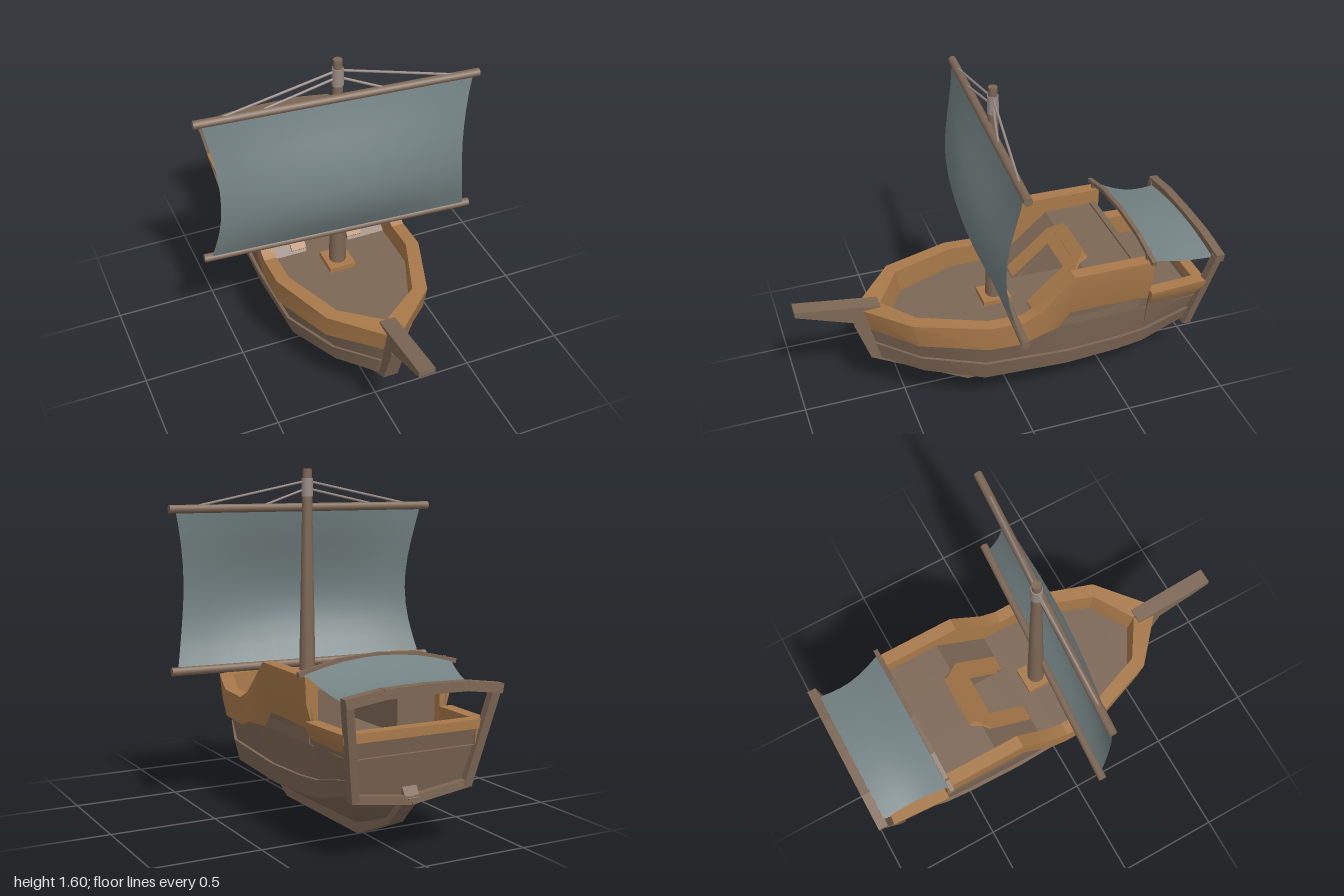
import * as THREE from 'three';
import { toCreasedNormals } from 'three/addons/utils/BufferGeometryUtils.js';

const mat = (name, color) => new THREE.MeshStandardMaterial({ name, color, side: THREE.DoubleSide });
const wood = mat('dark wood', 0x7d6755);
const trim = mat('trim wood', 0xa8794a);
const cloth = mat('grey cloth', 0x748284);
const rope = mat('rope', 0x9a8c86);

// Linear lookup in a list of [z, value] pairs with falling z
function at(line, z) {
  if (z >= line[0][0]) return line[0][1];
  for (let i = 1; i < line.length; i++) {
    const [z0, a] = line[i - 1], [z1, b] = line[i];
    if (z >= z1) return a + (b - a) * (z0 - z) / (z0 - z1);
  }
  return line[line.length - 1][1];
}

// Skin a row of cross-sections; closed sections also get end caps
function loft(rings, closed = false, crease = 0.5) {
  const n = rings[0].length, pos = rings.flat(2), idx = [];
  for (let i = 0; i < rings.length - 1; i++)
    for (let j = 0; j < (closed ? n : n - 1); j++) {
      const a = i * n + j, b = i * n + (j + 1) % n;
      idx.push(a, a + n, b, b, a + n, b + n);
    }
  if (closed) for (let j = 1; j < n - 1; j++) {
    const e = (rings.length - 1) * n;
    idx.push(0, j, j + 1, e, e + j + 1, e + j);
  }
  const g = new THREE.BufferGeometry();
  g.setAttribute('position', new THREE.Float32BufferAttribute(pos, 3));
  g.setIndex(idx);
  return toCreasedNormals(g, crease);
}

// Side profile of [z, y] points made solid between two x positions
function sideProfile(pts, x0, x1) {
  const s = new THREE.Shape(pts.map(([z, y]) => new THREE.Vector2(-z, y)));
  const g = new THREE.ExtrudeGeometry(s, { depth: x1 - x0, bevelEnabled: false });
  return g.rotateY(Math.PI / 2).translate(x0, 0, 0);
}

// Hull lines
const stations = [0.62, 0.45, 0.17, 0, -0.08, -0.24, -0.5, -0.64, -0.641, -0.77, -0.87];
const keelY = [[0.62, 0.27], [0.17, 0.05], [-0.5, 0.05], [-0.77, 0.14], [-0.87, 0.25]];
const lowX = [[0.62, 0.03], [0.45, 0.165], [0.17, 0.275], [-0.27, 0.29], [-0.61, 0.285], [-0.87, 0.25]];
const lowY = [[0.62, 0.27], [0.17, 0.22], [-0.27, 0.21], [-0.61, 0.23], [-0.87, 0.3]];
const highX = [[0.62, 0.03], [0.45, 0.19], [0.17, 0.305], [-0.27, 0.31], [-0.61, 0.305], [-0.87, 0.275]];
const highY = [[0.62, 0.36], [0.17, 0.32], [-0.27, 0.295], [-0.61, 0.31], [-0.87, 0.37]];
const sheerX = [[0.62, 0.03], [0.45, 0.22], [0.17, 0.335], [-0.64, 0.335], [-0.87, 0.32]];
const sheerY = [[0.62, 0.44], [0.45, 0.455], [0, 0.43], [-0.08, 0.46], [-0.24, 0.64], [-0.64, 0.64], [-0.641, 0.53]];
const topY = [[0.62, 0.56], [0.45, 0.58], [0, 0.56], [-0.08, 0.6], [-0.24, 0.76], [-0.64, 0.755], [-0.641, 0.57]];
const rakeK = [[0.62, 0.28], [0.17, 0], [-0.64, 0], [-0.87, -0.24]];
const inwardZ = [[0.62, -0.1], [0.45, -0.03], [0.17, -0.01], [0, 0]];
const rake = (x, y, z) => [x, y, z + at(rakeK, z) * (y - 0.3)];

function hullSide(z) {
  const ky = at(keelY, z), lx = at(lowX, z), ly = at(lowY, z);
  return [[at(sheerX, z), at(sheerY, z)], [at(highX, z), at(highY, z)], [lx, ly],
    [0.03 + (lx - 0.03) * 0.6, ky + (ly - ky) * 0.53], [0.03, ky]].map(([x, y]) => rake(x, y, z));
}
const flip = ([x, y, z]) => [-x, y, z];

function railSection(z, s) {
  const ox = at(sheerX, z) + (z > 0.6 ? 0 : 0.03), b = at(sheerY, z), t = at(topY, z);
  const ix = Math.max(0, ox - 0.062), dz = at(inwardZ, z), ib = Math.min(b, 0.45);
  const [, , zb] = rake(0, b, z), [, , zt] = rake(0, t, z);
  return [[ox - 0.006, b, zb], [ox, t, zt], [ix, t, zt + dz], [ix, ib, zb + dz]].map(([x, y, w]) => [s * x, y, w]);
}

export function createModel() {
  const ship = new THREE.Group();
  ship.name = 'sailingShip';
  const add = (name, geo, m, parent = ship) => {
    const mesh = new THREE.Mesh(geo, m);
    mesh.name = name;
    parent.add(mesh);
    return mesh;
  };
  const box = (name, m, x0, x1, y0, y1, z0, z1) => add(name,
    new THREE.BoxGeometry(x1 - x0, y1 - y0, z1 - z0).translate((x0 + x1) / 2, (y0 + y1) / 2, (z0 + z1) / 2), m);
  // Round or square bar between two points
  const bar = (name, m, a, b, r, sides = 8, parent = ship) => {
    const p = new THREE.Vector3(...a), q = new THREE.Vector3(...b), d = q.clone().sub(p);
    const g = new THREE.CylinderGeometry(r, r, d.length(), sides);
    if (sides === 4) g.rotateY(Math.PI / 4);
    const mesh = add(name, sides === 4 ? toCreasedNormals(g, 0.5) : g, m, parent);
    mesh.position.copy(p).add(q).multiplyScalar(0.5);
    mesh.quaternion.setFromUnitVectors(new THREE.Vector3(0, 1, 0), d.normalize());
  };

  // Hull skin and transom
  add('hull', loft(stations.map(z => {
    const side = hullSide(z);
    return [...side, ...side.map(flip).reverse()];
  })), wood);
  const stern = hullSide(-0.87);
  add('transom', loft([stern, stern.map(flip)]), wood);

  // Keel, stem and bowsprit
  add('keel', sideProfile([[0.7, 0.57], [0.73, 0.48], [0.66, 0.27], [0.18, 0], [-0.51, 0.005], [-0.77, 0.12], [-0.9, 0.26],
    [-0.87, 0.31], [-0.75, 0.18], [-0.5, 0.06], [0.17, 0.06], [0.6, 0.3], [0.65, 0.5], [0.64, 0.57]], -0.035, 0.035), wood);
  add('bowsprit', sideProfile([[1, 0.628], [1, 0.6], [0.73, 0.5], [0.6, 0.5], [0.6, 0.57]], -0.038, 0.038), wood);

  // Wales and gunwales, mirrored
  for (const s of [1, -1]) {
    add('wale', loft(stations.map(z => {
      const lx = at(lowX, z), ly = at(lowY, z), hx = at(highX, z), hy = at(highY, z);
      return [[lx - 0.01, ly], [lx + 0.018, ly - 0.003], [hx + 0.015, hy], [hx - 0.01, hy]]
        .map(([x, y]) => rake(s * x, y, z));
    }), true), wood);
    add('gunwale', loft(stations.slice(0, 8).map(z => railSection(z, s)), true), trim);
    add('sternGunwale', loft(stations.slice(8).map(z => railSection(z, s)), true), trim);
  }
  box('transomRail', trim, -0.33, 0.33, 0.53, 0.57, -0.935, -0.88);

  // Decks
  add('mainDeck', loft(stations.map(z => {
    const [x, , w] = railSection(z, 1)[3];
    return [[x + 0.02, 0.46, w], [-x - 0.02, 0.46, w]];
  })), wood);
  for (const s of [1, -1])
    add('quarterdeckSide', sideProfile([[-0.1, 0.46], [-0.35, 0.68], [-0.6, 0.68], [-0.6, 0.46]],
      s > 0 ? 0.11 : -0.325, s > 0 ? 0.325 : -0.11), wood);
  box('quarterdeckRoof', wood, -0.11, 0.11, 0.645, 0.68, -0.6, -0.33);
  box('quarterdeckBeam', wood, -0.325, 0.325, 0.65, 0.69, -0.62, -0.59);

  // Leaning companionway frame
  const arch = new THREE.Shape([[-0.185, 0], [-0.185, 0.28], [-0.13, 0.36], [0.13, 0.36], [0.185, 0.28], [0.185, 0],
    [0.11, 0], [0.11, 0.24], [-0.11, 0.24], [-0.11, 0]].map(p => new THREE.Vector2(...p)));
  const frame = add('companionwayFrame', new THREE.ExtrudeGeometry(arch, { depth: 0.04, bevelEnabled: false }), trim);
  frame.rotation.x = -0.85;
  frame.position.set(0, 0.45, -0.13);

  // Mast
  box('mastStep', trim, -0.065, 0.065, 0.455, 0.485, -0.04, 0.1);
  add('mast', new THREE.CylinderGeometry(0.021, 0.042, 1.14, 12).translate(0, 1.03, 0.03), wood);
  add('mastLashing', new THREE.CylinderGeometry(0.026, 0.027, 0.085, 12).translate(0, 1.515, 0.03), rope);

  // Yards, sail and lifts, turned together about the mast
  const rig = new THREE.Group();
  rig.name = 'rig';
  rig.position.z = 0.06;
  rig.rotation.y = -0.066;
  ship.add(rig);
  for (const y of [1.422, 0.685]) bar('yard', wood, [-0.66, y, 0], [0.66, y, 0], 0.02, 10, rig);
  const rows = [];
  for (let i = 0; i <= 9; i++) {
    const v = i / 9, w = 0.625 - 0.048 * Math.sin(Math.PI * v), row = [];
    for (let j = 0; j <= 10; j++) {
      const u = j / 5 - 1;
      row.push([u * w, 1.41 - 0.715 * v, 0.012 + Math.sin(Math.PI * v ** 1.3) * (0.11 - 0.055 * u * u)]);
    }
    rows.push(row);
  }
  add('sail', loft(rows, false, 1), cloth, rig);
  for (const [x, y] of [[0.53, 1.545], [-0.53, 1.545], [0.2, 1.51], [-0.35, 1.51]])
    bar('lift', rope, [0, y, -0.03], [x, 1.435, 0], 0.006, 6, rig);

  // Stern frame
  const chain = (name, pts, r) => {
    for (let i = 1; i < pts.length; i++) bar(name, wood, pts[i - 1], pts[i], r, 4);
  };
  chain('sternArch', [[-0.375, 0.705, -0.978], [-0.2, 0.73, -0.978], [0, 0.735, -0.978],
    [0.2, 0.73, -0.978], [0.375, 0.705, -0.978]], 0.03);
  chain('sternSill', [[-0.28, 0.29, -0.885], [0, 0.25, -0.88], [0.28, 0.29, -0.885]], 0.025);
  for (const s of [1, -1]) {
    bar('sternPost', wood, [s * 0.355, 0.71, -0.972], [s * 0.275, 0.28, -0.885], 0.027, 4);
    bar('awningPost', wood, [s * 0.33, 0.64, -0.622], [s * 0.33, 0.79, -0.622], 0.015, 4);
  }

  // Awning with its front bar
  chain('awningBar', [[-0.39, 0.765, -0.625], [-0.2, 0.81, -0.625], [0, 0.822, -0.625],
    [0.2, 0.81, -0.625], [0.39, 0.765, -0.625]], 0.015);
  const awning = [];
  for (let i = 0; i <= 6; i++) {
    const v = i / 6, sag = Math.sin(Math.PI * v), row = [];
    for (let j = 0; j <= 8; j++) {
      const u = j / 4 - 1;
      row.push([u * (0.365 - 0.025 * v - 0.02 * sag), 0.82 - 0.09 * v - 0.025 * sag - (0.055 - 0.02 * v) * u * u, -0.635 - 0.325 * v]);
    }
    awning.push(row);
  }
  add('awning', loft(awning, false, 1), cloth);
  return ship;
}
